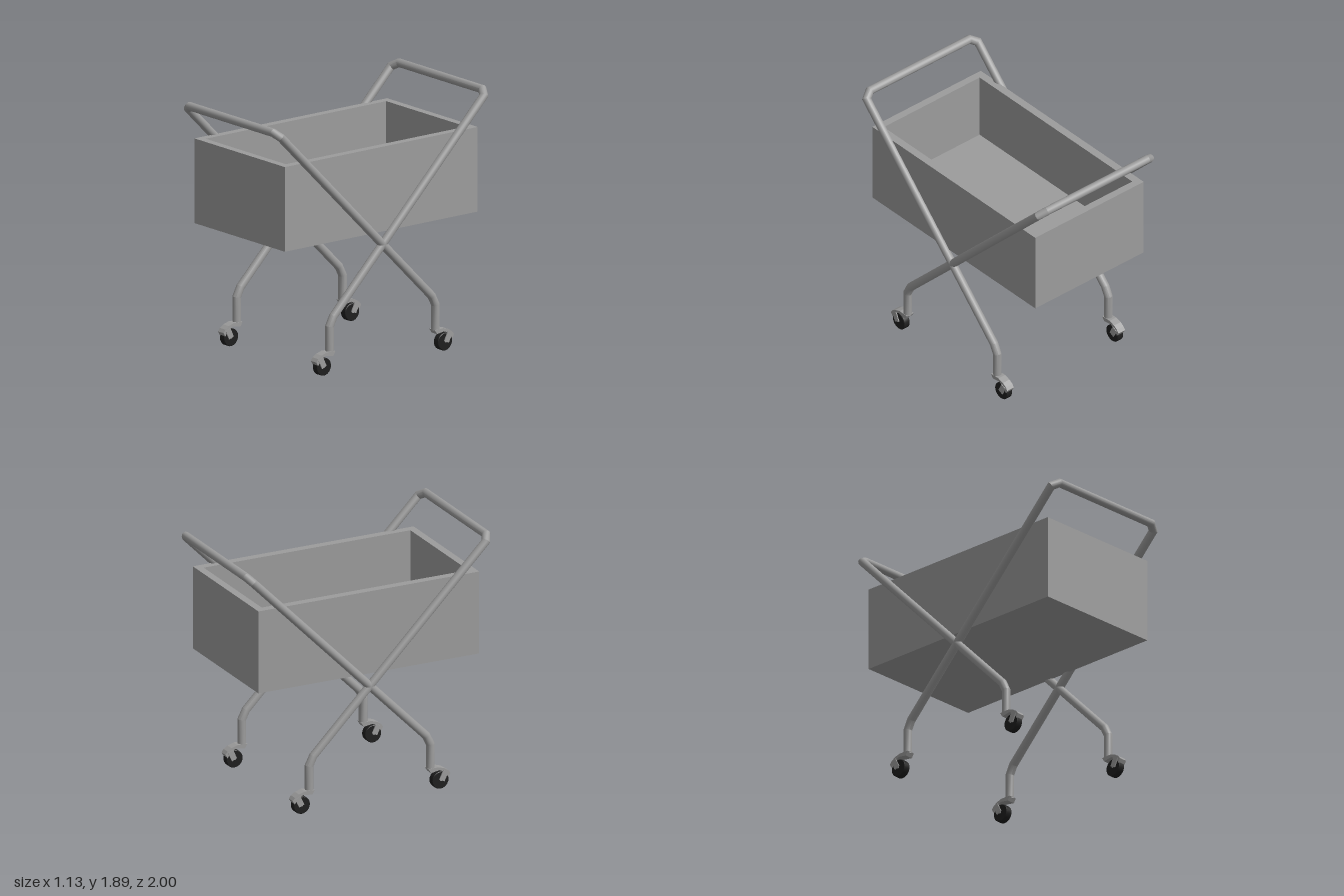
import * as THREE from 'three';
import { toCreasedNormals } from 'three/addons/utils/BufferGeometryUtils.js';

const V = (x, y, z) => new THREE.Vector3(x, y, z);

function mesh(name, geometry, material) {
  const m = new THREE.Mesh(geometry, material);
  m.name = name;
  return m;
}

// Round pipe along straight runs, mitred at each corner, closed at both ends
function pipe(points, radius, sides = 16) {
  const dirs = points.slice(1).map((p, i) => p.clone().sub(points[i]).normalize());
  const q = new THREE.Quaternion().setFromUnitVectors(V(0, 1, 0), dirs[0]);
  let ring = Array.from({ length: sides }, (_, i) => {
    const a = (i / sides) * Math.PI * 2;
    return V(Math.cos(a) * radius, 0, Math.sin(a) * radius).applyQuaternion(q).add(points[0]);
  });
  const rings = [ring];
  for (let i = 1; i < points.length; i++) {
    const d = dirs[i - 1];
    const n = d.clone().add(dirs[i] ?? d).normalize();
    ring = ring.map((p) => p.clone().addScaledVector(d, points[i].clone().sub(p).dot(n) / d.dot(n)));
    rings.push(ring);
  }
  const pos = [...rings.flat(), points[0], points[points.length - 1]].flatMap((p) => [p.x, p.y, p.z]);
  const last = rings.length - 1, c0 = rings.length * sides, index = [];
  for (let j = 0; j < sides; j++) {
    const k = (j + 1) % sides;
    for (let i = 0; i < last; i++) {
      const a = i * sides + j, b = i * sides + k;
      index.push(a, a + sides, b, b, a + sides, b + sides);
    }
    index.push(c0, j, k, c0 + 1, last * sides + k, last * sides + j);
  }
  const g = new THREE.BufferGeometry();
  g.setAttribute('position', new THREE.Float32BufferAttribute(pos, 3));
  g.setIndex(index);
  return toCreasedNormals(g, 0.42);
}

// Side profile in (z, y), extruded across x and centred on x = 0
function sidePlate(profile, width) {
  const shape = new THREE.Shape(profile.map(([z, y]) => new THREE.Vector2(z, y)));
  const g = new THREE.ExtrudeGeometry(shape, { depth: width, bevelEnabled: false });
  return g.translate(0, 0, -width / 2).rotateY(-Math.PI / 2);
}

export function createModel() {
  const grey = new THREE.MeshStandardMaterial({ color: 0x9c9c9c });
  const black = new THREE.MeshStandardMaterial({ color: 0x1e1e1e });
  const model = new THREE.Group();
  model.name = 'basketTrolley';

  // Open basket: four walls and a thick floor
  const rect = (T, x, z) => new T().moveTo(-x, -z).lineTo(x, -z).lineTo(x, z).lineTo(-x, z).closePath();
  const walls = rect(THREE.Shape, 0.517, 0.892);
  walls.holes.push(rect(THREE.Path, 0.457, 0.835));
  const basket = new THREE.Group();
  basket.name = 'basket';
  const wallGeo = new THREE.ExtrudeGeometry(walls, { depth: 0.63, bevelEnabled: false });
  wallGeo.rotateX(-Math.PI / 2).translate(0, 0.97, 0);
  const floorGeo = new THREE.BoxGeometry(0.914, 0.12, 1.67).translate(0, 1.03, 0);
  basket.add(mesh('basketWalls', wallGeo, grey), mesh('basketFloor', floorGeo, grey));
  model.add(basket);

  // One bent frame: leg, diagonal, handle, diagonal, leg
  const half = [
    V(0.53, 0.16, 0.49), V(0.53, 0.35, 0.49), V(0.53, 0.42, 0.455),
    V(0.53, 1.828, -0.938), V(0.475, 1.86, -0.968),
  ];
  const path = [...half, ...half.map((p) => V(-p.x, p.y, p.z)).reverse()];
  const frameGeo = pipe(path, 0.031);

  // Caster parts, wheel trailing towards +z
  const fenderGeo = sidePlate([
    [0.46, 0.168], [0.48, 0.136], [0.55, 0.147], [0.595, 0.125], [0.62, 0.083],
    [0.637, 0.112], [0.62, 0.135], [0.588, 0.156], [0.54, 0.171],
  ], 0.064);
  const forkGeo = sidePlate([[0.618, 0.122], [0.578, 0.142], [0.546, 0.075], [0.586, 0.056]], 0.008);
  const wheelGeo = toCreasedNormals(new THREE.LatheGeometry([
    [0, -0.026], [0.062, -0.026], [0.066, -0.022], [0.066, 0.022], [0.062, 0.026], [0, 0.026],
  ].map(([r, y]) => new THREE.Vector2(r, y)), 24), 0.5);
  wheelGeo.rotateZ(Math.PI / 2).translate(0, 0.066, 0.56);
  const axleGeo = new THREE.CylinderGeometry(0.01, 0.01, 0.064, 12);
  axleGeo.rotateZ(Math.PI / 2).translate(0, 0.07, 0.563);

  function caster(x) {
    const g = new THREE.Group();
    g.name = 'caster';
    g.add(mesh('casterFender', fenderGeo, grey), mesh('wheel', wheelGeo, black), mesh('axle', axleGeo, grey));
    for (const s of [-1, 1]) {
      const fork = mesh('casterFork', forkGeo, grey);
      fork.position.x = s * 0.033;
      g.add(fork);
    }
    g.position.x = x;
    return g;
  }

  // Two crossing frames, each on its own pair of casters
  for (const [name, turn] of [['frontFrame', 0], ['backFrame', Math.PI]]) {
    const frame = new THREE.Group();
    frame.name = name;
    frame.add(mesh('framePipe', frameGeo, grey), caster(0.53), caster(-0.53));
    frame.rotation.y = turn;
    model.add(frame);
  }
  return model;
}
